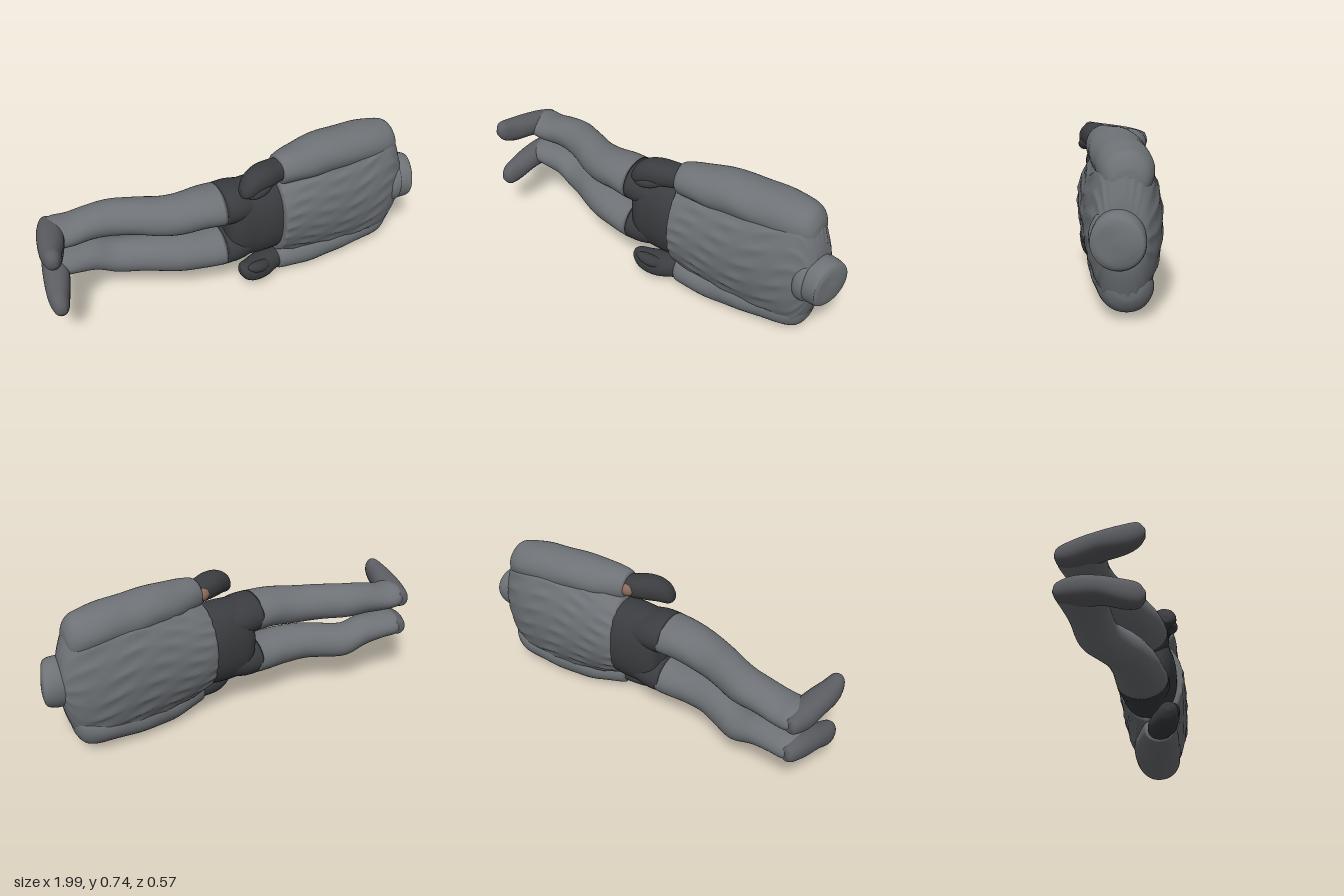
import * as THREE from 'three';

const MID = 0.38; // height of the body's plane of symmetry

const GREY = new THREE.MeshStandardMaterial({ color: 0x6e7276 });
const DARK = new THREE.MeshStandardMaterial({ color: 0x3a3c3f });
const BOOT = new THREE.MeshStandardMaterial({ color: 0x5c5d62 });
const SKIN = new THREE.MeshStandardMaterial({ color: 0x8a6a5c });

// Smooth closed tube through sections [x, y, z, radius in y, radius across].
// exp > 2 squares the section; ripple(angle, x) scales the radius for folds.
function loft(name, material, sections, { exp = 2, sides = 40, steps = 6, ripple = () => 0 } = {}) {
  const centre = new THREE.CatmullRomCurve3(sections.map(s => new THREE.Vector3(s[0], s[1], s[2])), false, 'catmullrom');
  const size = new THREE.CatmullRomCurve3(sections.map(s => new THREE.Vector3(s[3], s[4], 0)), false, 'catmullrom');
  const rings = (sections.length - 1) * steps;
  const up = new THREE.Vector3(0, 1, 0);
  const pos = [], idx = [];
  const power = v => Math.sign(v) * Math.abs(v) ** (2 / exp);
  for (let i = 0; i <= rings; i++) {
    const t = i / rings;
    const c = centre.getPoint(t), r = size.getPoint(t);
    // direction taken over a wide span so that neighbouring rings never cross
    const across = centre.getPoint(Math.min(1, t + 0.12))
      .sub(centre.getPoint(Math.max(0, t - 0.12))).cross(up).normalize();
    for (let j = 0; j < sides; j++) {
      const a = (j / sides) * Math.PI * 2;
      const k = 1 + ripple(a, c.x);
      const p = c.clone()
        .addScaledVector(up, Math.max(r.x, 0.003) * power(Math.cos(a)) * k)
        .addScaledVector(across, Math.max(r.y, 0.003) * power(Math.sin(a)) * k);
      pos.push(p.x, p.y, p.z);
      if (i < rings) {
        const n = (j + 1) % sides, b = i * sides, d = b + sides;
        idx.push(b + j, b + n, d + j, b + n, d + n, d + j);
      }
    }
  }
  // end caps
  const first = pos.length / 3, last = first + 1, end = rings * sides;
  pos.push(...centre.getPoint(0).toArray(), ...centre.getPoint(1).toArray());
  for (let j = 0; j < sides; j++) {
    const n = (j + 1) % sides;
    idx.push(first, n, j, last, end + j, end + n);
  }
  const geo = new THREE.BufferGeometry();
  geo.setAttribute('position', new THREE.Float32BufferAttribute(pos, 3));
  geo.setIndex(idx);
  geo.computeVertexNormals();
  const mesh = new THREE.Mesh(geo, material);
  mesh.name = name;
  return mesh;
}

// Limb sections are written for the upper (left) side and reflected for the other
const reflect = (sections, side) => sections.map(([x, y, ...rest]) => [x, MID + side * (y - MID), ...rest]);

export function createModel() {
  const body = new THREE.Group();
  body.name = 'recliningFigure';

  // Quilted jacket: folds run along the body, broken up along its length
  const quilt = (a, x) =>
    0.05 * (0.55 - Math.abs(Math.sin(11 * a + 1.2 * Math.sin(9 * x)))) * (0.55 + 0.45 * Math.sin(33 * x + 5 * a));
  body.add(loft('jacket', GREY, [
    [0.15, MID, 0.08, 0.17, 0.12],
    [0.16, MID, 0.08, 0.225, 0.16],
    [0.19, MID, 0.08, 0.24, 0.17],
    [0.3, MID, 0.085, 0.275, 0.173],
    [0.45, MID, 0.092, 0.305, 0.175],
    [0.6, MID, 0.1, 0.325, 0.173],
    [0.72, MID, 0.113, 0.335, 0.161],
    [0.8, MID, 0.125, 0.328, 0.142],
    [0.845, MID, 0.135, 0.28, 0.122],
    [0.88, MID, 0.145, 0.18, 0.1],
    [0.895, MID, 0.148, 0.1, 0.07],
    [0.9, MID, 0.148, 0.03, 0.03],
  ], { sides: 156, steps: 8, ripple: quilt }));

  // Neck stump with a raised collar, its flat end tipped towards the front
  body.add(loft('collar', GREY, [
    [0.81, MID, 0.15, 0.1, 0.1],
    [0.83, MID, 0.153, 0.125, 0.118],
    [0.865, MID, 0.158, 0.125, 0.118],
    [0.88, MID, 0.161, 0.108, 0.1],
  ]));
  body.add(loft('neck', GREY, [
    [0.82, MID, 0.148, 0.105, 0.1],
    [0.87, MID, 0.158, 0.12, 0.11],
    [0.91, MID, 0.165, 0.122, 0.112],
    [0.94, MID, 0.172, 0.113, 0.112],
    [0.954, MID, 0.177, 0.1, 0.105],
    [0.962, MID, 0.18, 0.07, 0.075],
    [0.966, MID, 0.182, 0.01, 0.01],
  ]));

  // Dark hips
  body.add(loft('hips', DARK, [
    [0.24, MID, 0.075, 0.2, 0.14],
    [0.12, MID, 0.065, 0.216, 0.147],
    [0.03, MID, 0.055, 0.218, 0.14],
    [-0.04, MID, 0.05, 0.21, 0.13],
    [-0.085, MID, 0.047, 0.17, 0.1],
    [-0.1, MID, 0.045, 0.08, 0.05],
    [-0.103, MID, 0.045, 0.02, 0.02],
  ], { exp: 2.2 }));

  const folds = (a, x) => 0.014 * Math.sin(28 * x + 2 * Math.cos(a)) + 0.008 * Math.sin(5 * a + 17 * x);

  for (const [prefix, side] of [['left', 1], ['right', -1]]) {
    const part = (name, material, sections, options) =>
      body.add(loft(prefix + name, material, reflect(sections, side), options));

    part('Sleeve', GREY, [
      [0.865, 0.59, 0.116, 0.03, 0.03],
      [0.855, 0.595, 0.115, 0.07, 0.07],
      [0.82, 0.612, 0.112, 0.1, 0.1],
      [0.75, 0.628, 0.108, 0.102, 0.116],
      [0.6, 0.641, 0.104, 0.102, 0.123],
      [0.4, 0.65, 0.104, 0.1, 0.12],
      [0.27, 0.65, 0.115, 0.088, 0.1],
      [0.19, 0.648, 0.12, 0.078, 0.084],
      [0.165, 0.648, 0.12, 0.066, 0.07],
      [0.16, 0.648, 0.12, 0.03, 0.03],
    ], { ripple: folds });

    // Gloved hand with thumb
    part('Hand', DARK, [
      [0.21, 0.65, 0.12, 0.05, 0.055],
      [0.14, 0.652, 0.125, 0.057, 0.064],
      [0.07, 0.656, 0.142, 0.063, 0.068],
      [0.01, 0.652, 0.157, 0.06, 0.06],
      [-0.035, 0.636, 0.168, 0.05, 0.047],
      [-0.06, 0.622, 0.172, 0.026, 0.026],
      [-0.065, 0.62, 0.172, 0.01, 0.01],
    ], { exp: 2.2 });
    part('Thumb', DARK, [
      [0.1, 0.63, 0.17, 0.02, 0.02],
      [0.05, 0.62, 0.188, 0.03, 0.03],
      [0, 0.61, 0.195, 0.026, 0.026],
      [-0.035, 0.6, 0.195, 0.01, 0.01],
    ], { sides: 20 });

    part('Thigh', DARK, [
      [0.06, 0.488, 0.05, 0.09, 0.11],
      [-0.04, 0.498, 0.048, 0.102, 0.128],
      [-0.12, 0.502, 0.044, 0.099, 0.126],
    ]);
    // Leg, closed by the rounded heel; the right shin leans further inwards
    const shin = side > 0 ? 0.477 : 0.45;
    part('Leg', GREY, [
      [-0.11, 0.502, 0.045, 0.099, 0.127],
      [-0.2, 0.503, 0.03, 0.097, 0.12],
      [-0.3, 0.495, 0.01, 0.096, 0.112],
      [-0.4, 0.49, -0.027, 0.093, 0.1],
      [-0.5, 0.494, -0.082, 0.089, 0.094],
      [-0.6, 0.494, -0.132, 0.086, 0.094],
      [-0.7, shin + 0.012, -0.155, 0.077, 0.093],
      [-0.8, shin, -0.17, 0.068, 0.1],
      [-0.86, shin, -0.181, 0.066, 0.101],
      [-0.895, shin, -0.188, 0.056, 0.085],
      [-0.915, shin, -0.19, 0.03, 0.05],
      [-0.92, shin, -0.19, 0.008, 0.01],
    ], { ripple: (a, x) => 0.7 * folds(a, x) });

    // Boot, heel to toe
    part('Boot', BOOT, [
      [-0.872, shin, -0.281, 0.015, 0.015],
      [-0.876, shin, -0.268, 0.04, 0.035],
      [-0.886, shin + 0.003, -0.19, 0.062, 0.062],
      [-0.916, shin + 0.02, -0.09, 0.06, 0.062],
      [-0.945, 0.505, 0, 0.062, 0.052],
      [-0.957, 0.52, 0.06, 0.053, 0.037],
      [-0.96, 0.524, 0.088, 0.02, 0.016],
    ], { exp: 2.2 });
  }

  // Bare patch of skin at the upper wrist
  const wrist = new THREE.Mesh(new THREE.SphereGeometry(0.035, 20, 14), SKIN);
  wrist.name = 'bareWrist';
  wrist.position.set(0.15, 0.65, 0.078);
  wrist.scale.set(1.1, 1, 0.9);
  body.add(wrist);

  return body;
}
